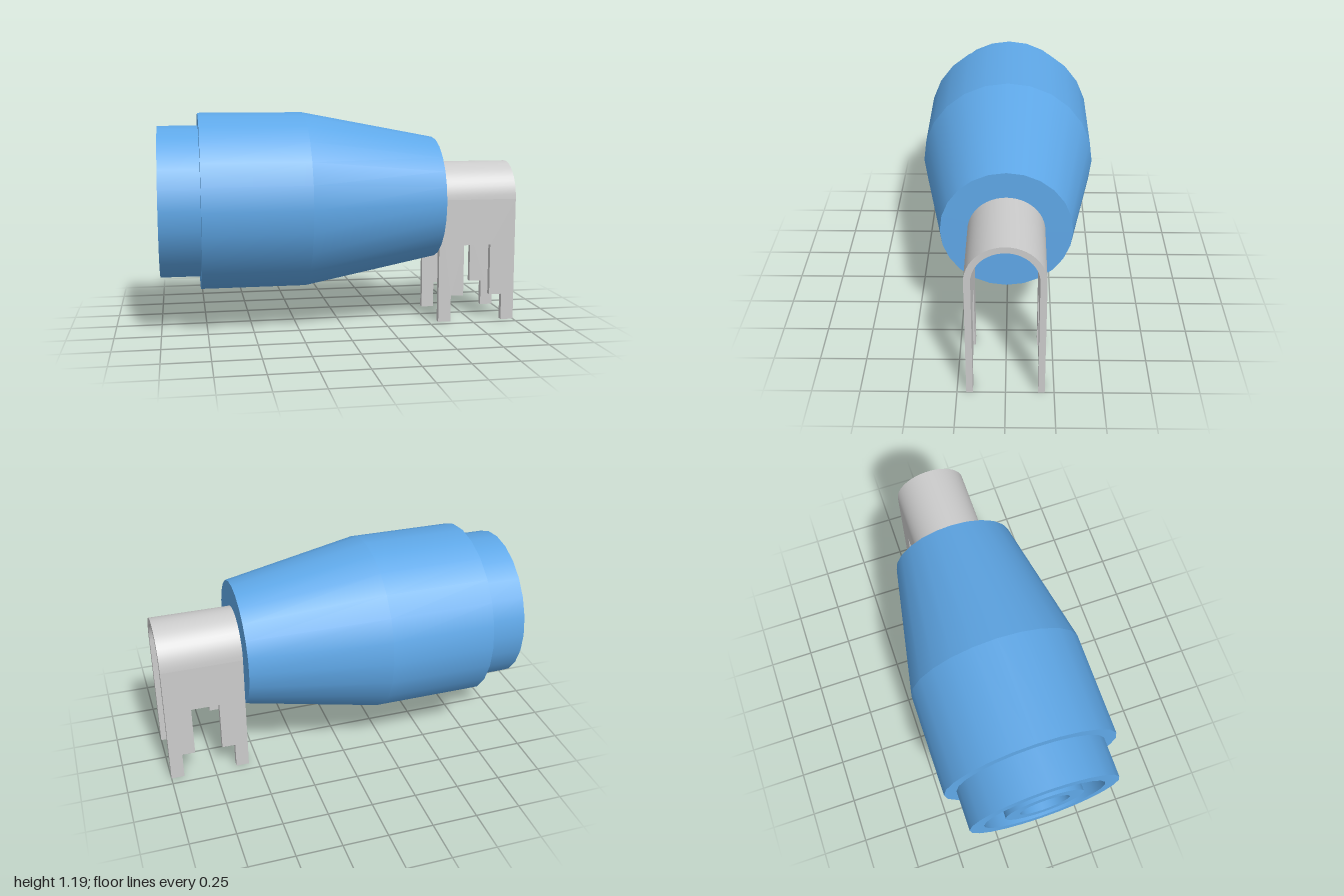
import * as THREE from 'three';
import { mergeGeometries, toCreasedNormals } from 'three/addons/utils/BufferGeometryUtils.js';

const AXIS_Y = 0.7;
const BACK = -1, FRONT = 0.555;

// Turns a profile of [radius, x] pairs about the x axis, keeping every corner sharp
function turned(profile, sides) {
  const bands = [];
  for (let i = 0; i < profile.length - 1; i++) {
    const pts = [profile[i], profile[i + 1]].map(([r, x]) => new THREE.Vector2(r, x));
    bands.push(new THREE.LatheGeometry(pts, sides));
  }
  return mergeGeometries(bands).rotateZ(-Math.PI / 2);
}

export function createModel() {
  const group = new THREE.Group();
  const blue = new THREE.MeshStandardMaterial({ color: 0x5fa8e8 });
  const grey = new THREE.MeshStandardMaterial({ color: 0xcccccc });
  const add = (name, geometry, material) => {
    const mesh = new THREE.Mesh(geometry, material);
    mesh.name = name;
    group.add(mesh);
    return mesh;
  };

  // Socket body: bore, inner sleeve, ring-shaped recess, collar, barrel and tapered end
  const floor = -0.2;
  add('socketBody', turned([
    [0, floor], [0.14, floor], [0.14, BACK],
    [0.22, BACK], [0.22, floor], [0.34, floor], [0.34, BACK],
    [0.42, BACK], [0.42, -0.78], [0.49, -0.78],
    [0.49, -0.2], [0.345, FRONT], [0, FRONT],
  ], 24), blue).position.y = AXIS_Y;

  // Bracket arch: half ring swept along x
  const outer = 0.202, inner = 0.168, length = 1 - FRONT;
  const arch = new THREE.Shape();
  arch.absarc(0, 0, outer, 0, Math.PI, false);
  arch.absarc(0, 0, inner, Math.PI, 0, true);
  const archGeometry = new THREE.ExtrudeGeometry(arch, { depth: length, bevelEnabled: false, curveSegments: 12 });
  archGeometry.rotateY(Math.PI / 2);
  add('bracketArch', toCreasedNormals(archGeometry, 0.5), grey).position.set(FRONT, AXIS_Y, 0);

  // Bracket sides: plates with two stepped pins each
  const side = new THREE.Shape([
    [FRONT, AXIS_Y], [FRONT, 0], [0.627, 0], [0.627, 0.15], [0.7, 0.15], [0.7, 0.44],
    [0.855, 0.44], [0.855, 0.15], [0.927, 0.15], [0.927, 0], [1, 0], [1, AXIS_Y],
  ].map(([x, y]) => new THREE.Vector2(x, y)));
  const sideGeometry = new THREE.ExtrudeGeometry(side, { depth: outer - inner, bevelEnabled: false });
  add('frontBracketSide', sideGeometry, grey).position.z = inner;
  add('backBracketSide', sideGeometry, grey).position.z = -outer;

  return group;
}
